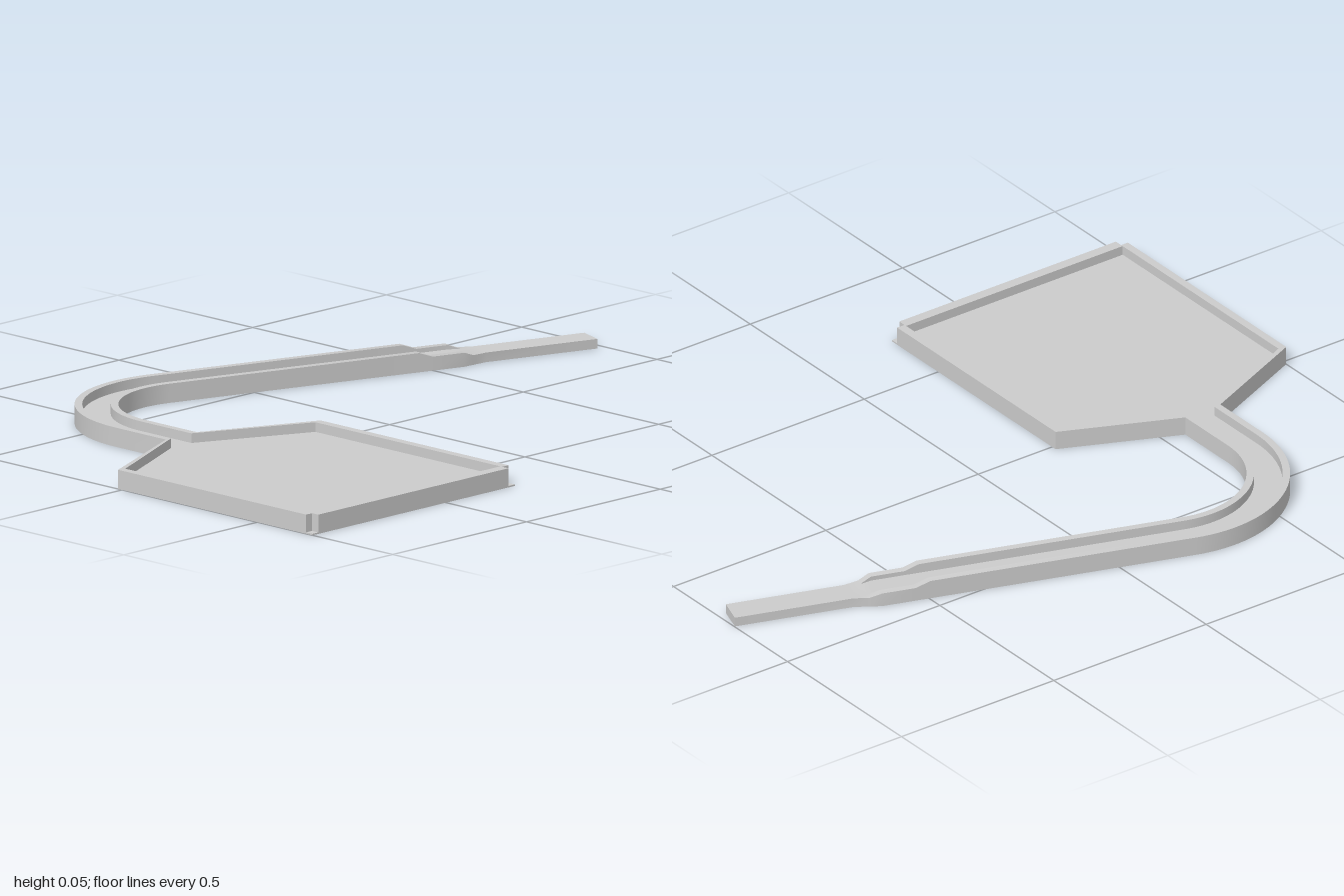
import * as THREE from 'three';
import { toCreasedNormals } from 'three/addons/utils/BufferGeometryUtils.js';

const BASE = 0.004, FLOOR = 0.026, STEP = 0.038, TOP = 0.052, WALL = 0.02;
const NECK_X = -0.62, NECK_Z = -0.157;

const material = new THREE.MeshStandardMaterial({ color: 0xcccccc });

function addMesh(group, name, geometry) {
  const mesh = new THREE.Mesh(geometry, material);
  mesh.name = name;
  group.add(mesh);
}

// Extrudes a plan outline given as [x, z] from height y0 to y1
function plate(points, y0, y1) {
  const shape = new THREE.Shape(points.map(([x, z]) => new THREE.Vector2(x, -z)));
  const geometry = new THREE.ExtrudeGeometry(shape, { depth: y1 - y0, bevelEnabled: false });
  return geometry.rotateX(-Math.PI / 2).translate(0, y0, 0);
}

// Sweeps a U-shaped section along stations { x, z, nx, nz, half, top }
function sweepChannel(stations) {
  const rings = stations.map(({ x, z, nx, nz, half: h, top }) => [
    [-h, 0], [h, 0], [h, top], [h - WALL, top],
    [h - WALL, FLOOR], [WALL - h, FLOOR], [WALL - h, top], [-h, top],
  ].map(([o, y]) => new THREE.Vector3(x + nx * o, y, z + nz * o)));
  const positions = [];
  const tri = new THREE.Triangle();
  const add = (a, b, c) => {
    if (tri.set(a, b, c).getArea() > 1e-9) {
      for (const p of [a, b, c]) positions.push(p.x, p.y, p.z);
    }
  };
  const quad = (a, b, c, d) => { add(a, b, c); add(a, c, d); };
  for (let i = 0; i < rings.length - 1; i++) {
    const a = rings[i], b = rings[i + 1];
    for (let j = 0; j < 8; j++) {
      const k = (j + 1) % 8;
      quad(a[j], b[j], b[k], a[k]);
    }
  }
  // End caps: floor slab and the two wall ends
  const cap = (r, flip) => {
    for (const q of [[0, 1, 4, 5], [1, 2, 3, 4], [0, 5, 6, 7]]) {
      const v = q.map((i) => r[i]);
      if (flip) v.reverse();
      quad(...v);
    }
  };
  cap(rings[0], false);
  cap(rings[rings.length - 1], true);
  const geometry = new THREE.BufferGeometry();
  geometry.setAttribute('position', new THREE.Float32BufferAttribute(positions, 3));
  return toCreasedNormals(geometry, 0.4);
}

export function createModel() {
  const group = new THREE.Group();
  group.name = 'trayWithSpout';

  // Tray: house-shaped floor with a raised rim that opens at the neck
  const left = -1, right = -0.243, front = 0.703, shoulder = -0.015;
  const innerLeft = -0.978, innerRight = -0.267, innerFront = 0.673, notchZ = 0.68;
  const neckRight = [NECK_X + 0.0575, NECK_Z], neckLeft = [NECK_X - 0.0575, NECK_Z];
  const base = [
    neckRight, [right, shoulder], [right, front],
    [left, front], [left, shoulder], neckLeft,
  ];
  // Small square notches at the two front corners, above the thin base
  const notched = [
    neckRight, [right, shoulder],
    [right, notchZ], [innerRight, notchZ], [innerRight, front],
    [innerLeft, front], [innerLeft, notchZ], [left, notchZ],
    [left, shoulder], neckLeft,
  ];
  const inner = [
    [NECK_X - 0.0375, NECK_Z], [innerLeft, -0.01], [innerLeft, innerFront],
    [innerRight, innerFront], [innerRight, -0.01], [NECK_X + 0.0375, NECK_Z],
  ];
  addMesh(group, 'trayBase', plate(base, 0, BASE));
  addMesh(group, 'trayFloor', plate(notched, BASE, FLOOR));
  addMesh(group, 'trayRim', plate([...notched, ...inner], FLOOR, TOP));

  // Channel path: short straight neck, bend, then a long straight run
  const half = 0.0575, radius = 0.305, cx = NECK_X + radius, cz = -0.343;
  const stations = [{ x: NECK_X, z: NECK_Z, nx: 1, nz: 0, half, top: TOP }];
  const endAngle = Math.PI / 2 + Math.atan(1 / 3);
  const segments = 36;
  for (let i = 0; i <= segments; i++) {
    const a = endAngle * i / segments, c = Math.cos(a), s = Math.sin(a);
    stations.push({ x: cx - radius * c, z: cz - radius * s, nx: c, nz: s, half, top: TOP });
  }
  // Normals point to the inside of the bend
  const bend = stations[stations.length - 1];

  // Straight run: distance, half width, wall height (stepped down to the flat tongue)
  const run = [
    [0.735, half, TOP], [0.775, half, STEP], [0.868, half, STEP],
    [0.9, 0.049, FLOOR], [0.942, 0.038, FLOOR], [1.27, 0.038, FLOOR],
  ];
  for (const [d, h, top] of run) {
    stations.push({ ...bend, x: bend.x + bend.nz * d, z: bend.z - bend.nx * d, half: h, top });
  }
  addMesh(group, 'spoutChannel', sweepChannel(stations));
  return group;
}
